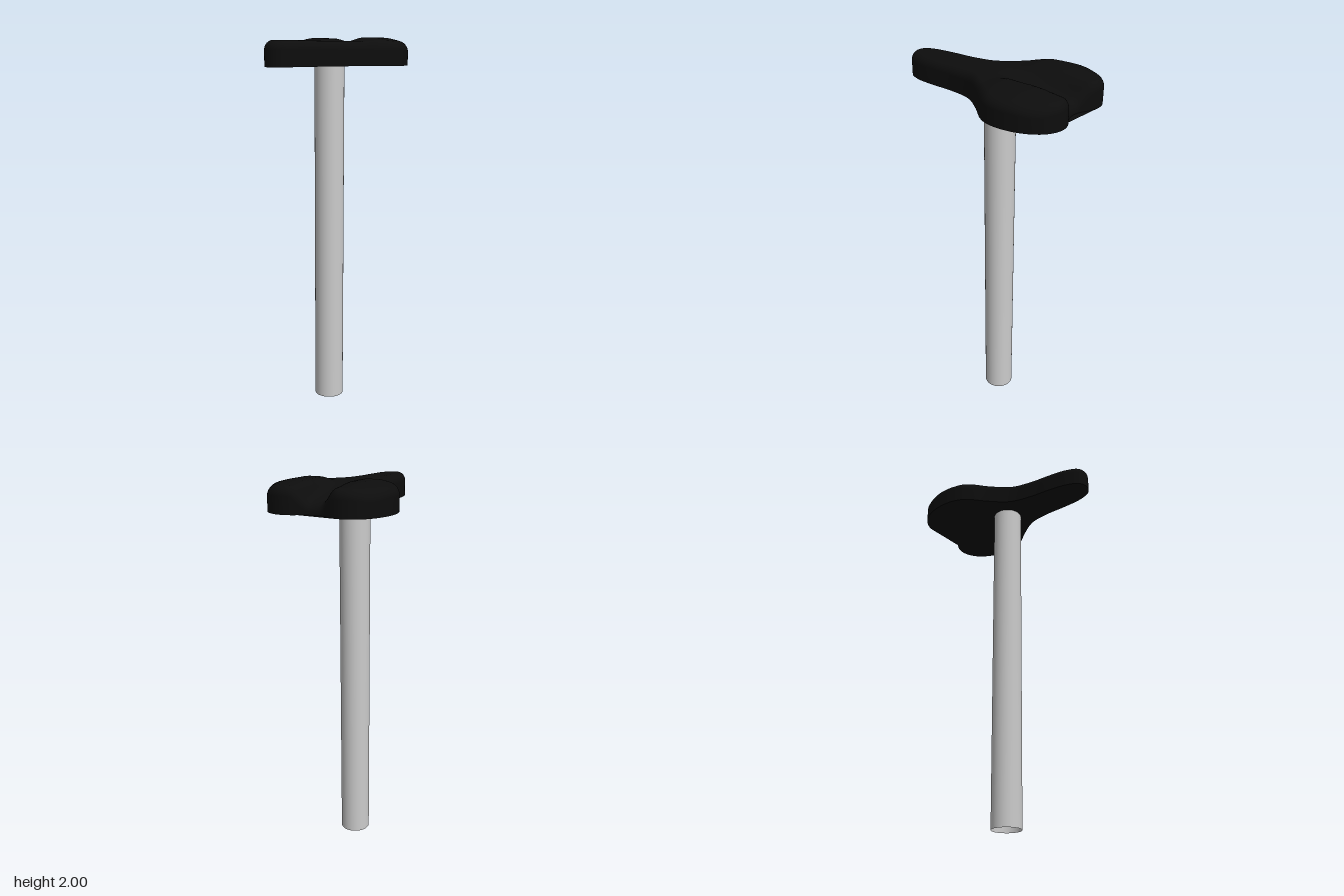
import * as THREE from 'three';

const BASE_Y = 1.855; // underside of the saddle
const EDGE = 0.045;   // rounding of the upper rim

const smooth = (v, a, b) => {
  const t = Math.min(Math.max((v - a) / (b - a), 0), 1);
  return t * t * (3 - 2 * t);
};

// Plan outline (x, z): left half from nose tip to rear notch, then mirrored
function saddleOutline() {
  const half = [
    [0, 0.5], [0.05, 0.48], [0.082, 0.41], [0.095, 0.3], [0.1, 0.19], [0.125, 0.06],
    [0.195, -0.04], [0.28, -0.135], [0.306, -0.19], [0.316, -0.27], [0.299, -0.37],
    [0.255, -0.45], [0.2, -0.49], [0.15, -0.5], [0.105, -0.49], [0.075, -0.474],
    [0.04, -0.456], [0, -0.45],
  ];
  const mirrored = half.slice(1, -1).reverse().map(([x, z]) => [-x, z]);
  const points = [...half, ...mirrored].map(([x, z]) => new THREE.Vector3(x, 0, z));
  return new THREE.CatmullRomCurve3(points, true, 'centripetal').getPoints(168).slice(0, -1);
}

// Height of the padding: two rear pads with a channel between them
function topHeight(x, z) {
  const ax = Math.abs(x);
  const pad = 0.022 * smooth(z, -0.06, -0.18) * smooth(ax, 0.03, 0.13);
  const fall = 0.018 * smooth(z, -0.3, -0.5) + 0.022 * smooth(ax, 0.18, 0.31) * smooth(z, 0, -0.15);
  const channel = 0.055 * smooth(ax, 0.12, 0.02) * smooth(z, -0.02, -0.4);
  return 1.98 + pad - fall - channel;
}

// Rim wall and cushioned top: rings running from the outline in to a centre spine
function paddingGeometry(outline) {
  const n = outline.length;
  const positions = [];
  const indices = [];
  const addRing = (place) => outline.forEach((p) => positions.push(...place(p)));

  addRing((p) => [p.x, BASE_Y, p.z]);
  const roundSteps = 6;
  const innerSteps = 14;
  for (let k = 0; k <= roundSteps + innerSteps; k++) {
    const angle = (Math.min(k / roundSteps, 1) * Math.PI) / 2;
    const inner = Math.max(k - roundSteps, 0) / innerSteps;
    addRing((p) => {
      const spineZ = Math.min(Math.max(p.z, -0.25), 0.4);
      const length = Math.hypot(p.x, p.z - spineZ);
      const inset = EDGE * (1 - Math.cos(angle)) + (length - EDGE) * inner;
      const s = 1 - inset / length;
      const x = p.x * s;
      const z = spineZ + (p.z - spineZ) * s;
      return [x, topHeight(x, z) - EDGE * (1 - Math.sin(angle)), z];
    });
  }

  const rings = positions.length / 3 / n;
  for (let r = 0; r < rings - 1; r++) {
    for (let i = 0; i < n; i++) {
      const a = r * n + i;
      const b = r * n + ((i + 1) % n);
      indices.push(a, b, b + n, a, b + n, a + n);
    }
  }
  const geometry = new THREE.BufferGeometry();
  geometry.setAttribute('position', new THREE.Float32BufferAttribute(positions, 3));
  geometry.setIndex(indices);
  geometry.computeVertexNormals();
  return geometry;
}

// Flat underside, its rear edge cut straight across most of the notch
function undersideGeometry(outline) {
  const kept = outline.filter((p) => !(p.z < -0.4 && p.x > -0.14 && p.x < 0.074));
  const shape = new THREE.Shape(kept.map((p) => new THREE.Vector2(p.x, p.z)));
  return new THREE.ShapeGeometry(shape).rotateX(Math.PI / 2).translate(0, BASE_Y, 0);
}

export function createModel() {
  const model = new THREE.Group();
  model.name = 'saddleAndPost';

  const black = new THREE.MeshStandardMaterial({ color: 0x0d0d0d, side: THREE.DoubleSide });
  const grey = new THREE.MeshStandardMaterial({ color: 0xcccccc, side: THREE.DoubleSide });

  const saddle = new THREE.Group();
  saddle.name = 'saddle';
  const outline = saddleOutline();
  const padding = new THREE.Mesh(paddingGeometry(outline), black);
  padding.name = 'saddlePadding';
  const underside = new THREE.Mesh(undersideGeometry(outline), black);
  underside.name = 'saddleUnderside';
  saddle.add(padding, underside);

  // Hollow post, open at the bottom
  const post = new THREE.Mesh(new THREE.CylinderGeometry(0.079, 0.079, BASE_Y, 48, 1, true), grey);
  post.name = 'seatPost';
  post.position.set(0, BASE_Y / 2, -0.04);

  model.add(saddle, post);
  return model;
}
